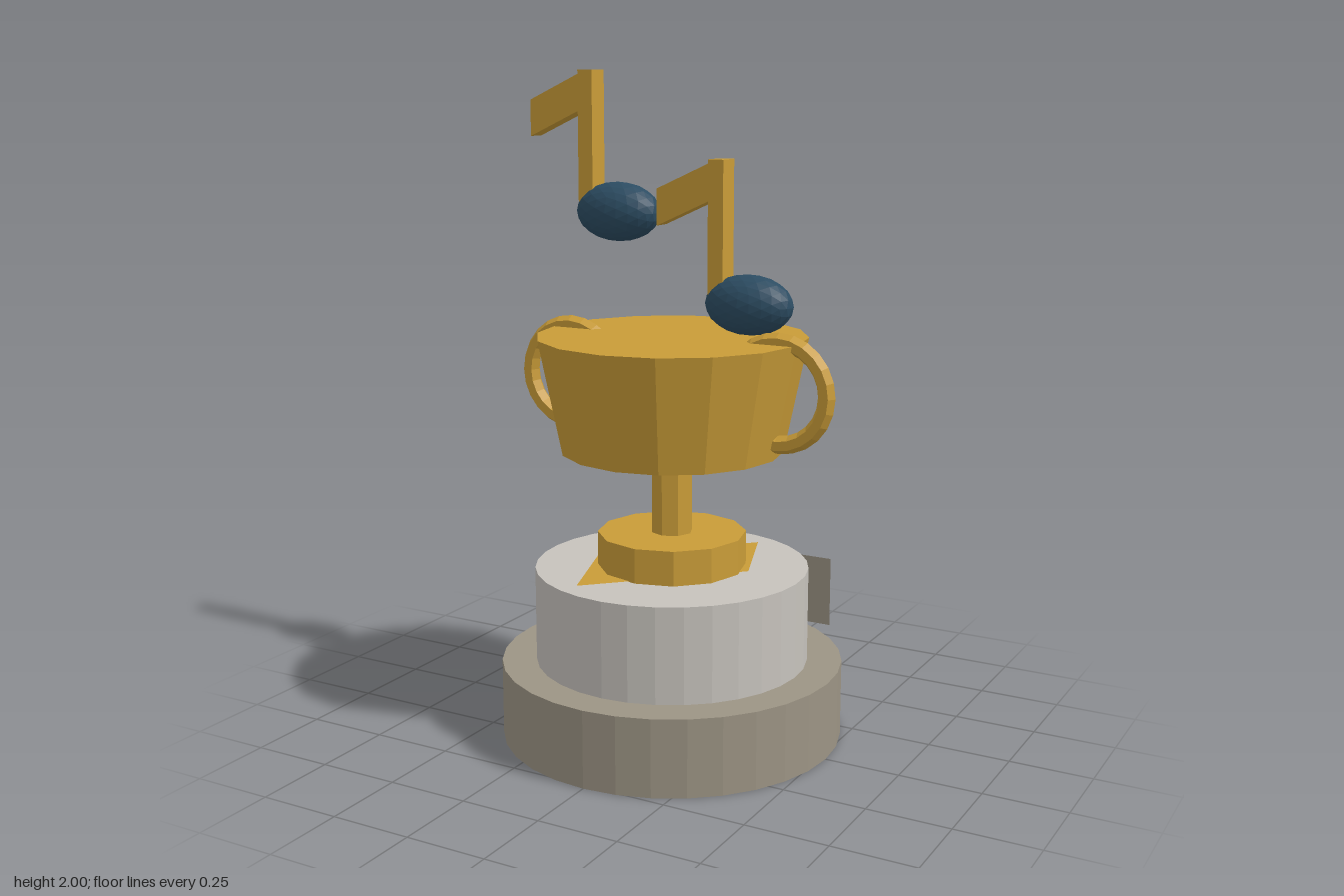
import * as THREE from 'three';

function flat(name, color, side = THREE.FrontSide) {
  const m = new THREE.MeshStandardMaterial({ color, flatShading: true, side });
  m.name = name;
  return m;
}

export function createModel() {
  const model = new THREE.Group();
  model.name = 'musicTrophy';
  const gold = flat('gold', 0xc99c38);
  const silver = flat('silver', 0xc6c2bc);
  const stone = flat('stone', 0x9c9484, THREE.DoubleSide);
  const blue = flat('darkBlue', 0x2c4c62);

  const add = (name, geometry, material, parent = model) => {
    const mesh = new THREE.Mesh(geometry, material);
    mesh.name = name;
    parent.add(mesh);
    return mesh;
  };

  // Stacked round parts: name, top radius, bottom radius, bottom y, top y, sides
  const rounds = [
    ['lowerBase', 0.52, 0.52, 0, 0.235, 32, stone],
    ['upperBase', 0.415, 0.415, 0.235, 0.525, 32, silver],
    ['foot', 0.225, 0.225, 0.525, 0.63, 12, gold],
    ['stem', 0.063, 0.063, 0.63, 0.885, 8, gold],
    ['cup', 0.405, 0.335, 0.885, 1.23, 16, gold],
  ];
  for (const [name, top, bottom, y0, y1, sides, material] of rounds) {
    add(name, new THREE.CylinderGeometry(top, bottom, y1 - y0, sides), material)
      .position.y = (y0 + y1) / 2;
  }

  // Thin gold inlay under the foot
  const inlayShape = new THREE.Shape([
    [-0.135, -0.33], [0.24, 0.04], [0.13, 0.33], [-0.24, -0.04],
  ].map(([x, y]) => new THREE.Vector2(x, y)));
  const inlay = add('footInlay', new THREE.ShapeGeometry(inlayShape), gold);
  inlay.rotation.x = -Math.PI / 2;
  inlay.position.y = 0.527;

  // Blank plaque on the back of the base
  add('backPlaque', new THREE.PlaneGeometry(0.69, 0.22), stone).position.set(0, 0.37, -0.416);

  // Ring handles sunk into the cup
  for (const side of [-1, 1]) {
    add(side > 0 ? 'leftHandle' : 'rightHandle',
      new THREE.TorusGeometry(0.151, 0.027, 6, 24), gold).position.set(side * 0.35, 1.087, 0);
  }

  // Floating notes: oval head, upright stem and slanted flag
  const flagShape = new THREE.Shape([
    [-0.295, 0.332], [-0.295, 0.222], [-0.1, 0.31], [-0.1, 0.42],
  ].map(([x, y]) => new THREE.Vector2(x, y)));
  const addNote = (name, x, y) => {
    const note = new THREE.Group();
    note.name = name;
    note.position.set(x, y, -0.097);
    add('noteHead', new THREE.IcosahedronGeometry(1, 3), blue, note).scale.set(0.14, 0.09, 0.082);
    add('noteStem', new THREE.BoxGeometry(0.05, 0.422, 0.07), gold, note).position.set(-0.095, 0.211, 0);
    const flag = new THREE.ExtrudeGeometry(flagShape, { depth: 0.058, bevelEnabled: false });
    add('noteFlag', flag, gold, note).position.z = -0.029;
    model.add(note);
  };
  addNote('upperNote', -0.24, 1.578);
  addNote('lowerNote', 0.205, 1.322);

  return model;
}
